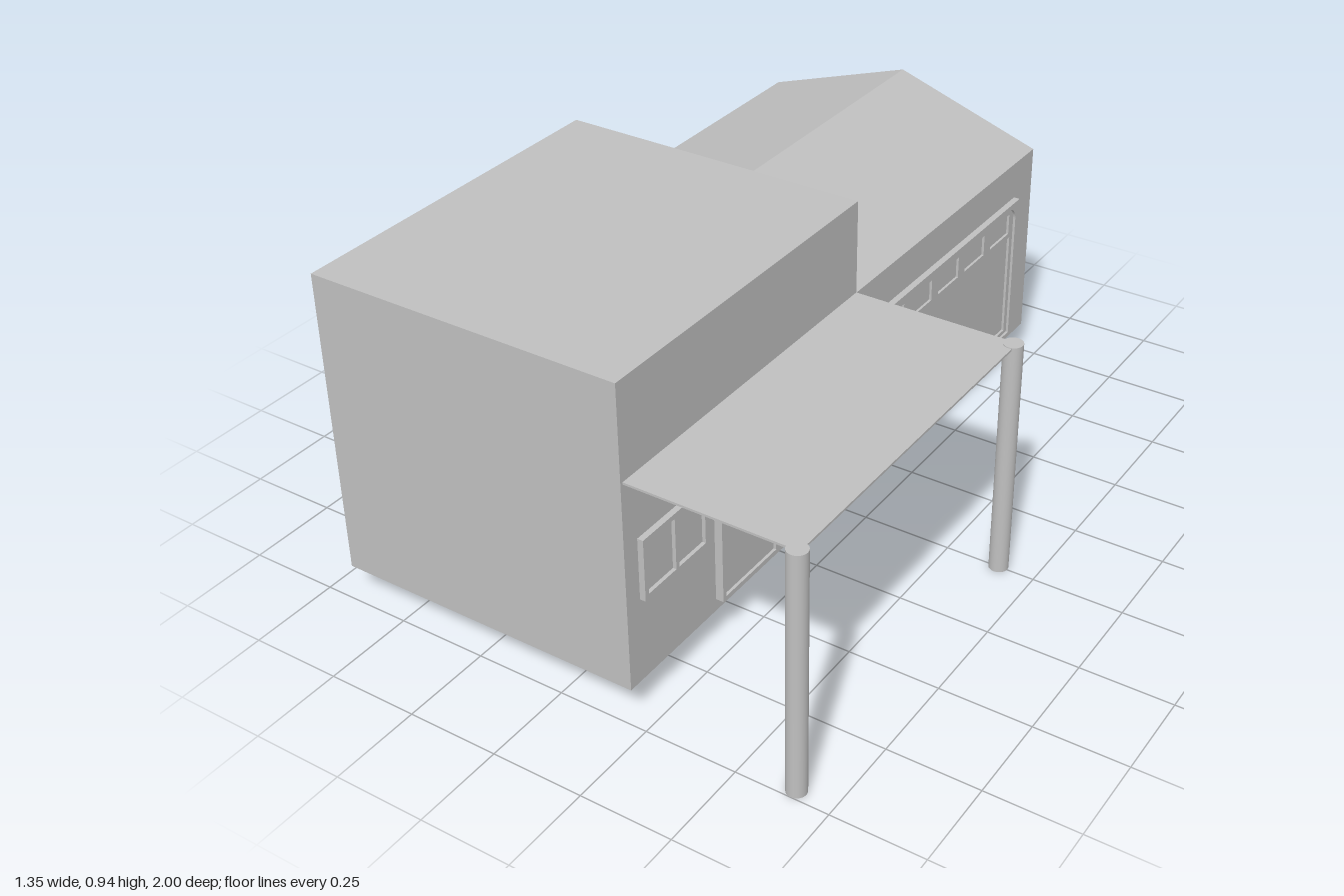
import * as THREE from 'three';

const WALL_X = 0.2; // plane of the side wall that carries the openings

export function createModel() {
  const model = new THREE.Group();
  const grey = new THREE.MeshStandardMaterial({ color: 0xc0c0c0 });
  grey.name = 'plain grey';

  const add = (name, geometry, parent = model) => {
    const mesh = new THREE.Mesh(geometry, grey);
    mesh.name = name;
    parent.add(mesh);
    return mesh;
  };
  const box = (name, x0, x1, y0, y1, z0, z1, parent) =>
    add(name, new THREE.BoxGeometry(x1 - x0, y1 - y0, z1 - z0), parent)
      .position.set((x0 + x1) / 2, (y0 + y1) / 2, (z0 + z1) / 2);

  // Rectangle outline in wall coordinates (u = -z), with optional round top corners
  const outline = (target, u0, u1, y0, y1, r = 0) => {
    target.moveTo(u0, y0);
    target.lineTo(u1, y0);
    target.lineTo(u1, y1 - r);
    if (r) target.absarc(u1 - r, y1 - r, r, 0, Math.PI / 2, false);
    target.lineTo(u0 + r, y1);
    if (r) target.absarc(u0 + r, y1 - r, r, Math.PI / 2, Math.PI, false);
    target.closePath();
    return target;
  };
  // Plate standing out from the side wall, cut by rectangular holes
  const wallPlate = (name, rect, holes, depth, parent) => {
    const shape = outline(new THREE.Shape(), ...rect);
    for (const hole of holes) shape.holes.push(outline(new THREE.Path(), ...hole));
    const geometry = new THREE.ExtrudeGeometry(shape, { depth, bevelEnabled: false, curveSegments: 6 });
    geometry.rotateY(Math.PI / 2);
    add(name, geometry, parent).position.x = WALL_X;
  };

  // Tall flat-roofed front block
  box('frontBlock', -0.675, WALL_X, 0.09, 0.935, -0.01, 0.985);

  // Lower rear block with a gabled roof
  const gable = new THREE.Shape();
  gable.moveTo(-0.675, 0.09);
  gable.lineTo(WALL_X, 0.09);
  gable.lineTo(WALL_X, 0.675);
  gable.lineTo(-0.238, 0.82);
  gable.lineTo(-0.675, 0.675);
  gable.closePath();
  add('gabledBlock', new THREE.ExtrudeGeometry(gable, { depth: 0.99, bevelEnabled: false }))
    .position.z = -1;

  // Thin canopy carried on two round posts
  box('canopy', WALL_X, 0.657, 0.67, 0.676, -0.01, 0.977);
  for (const z of [-0.002, 0.974]) {
    add('canopyPost', new THREE.CylinderGeometry(0.026, 0.026, 0.678, 24))
      .position.set(0.649, 0.339, z);
  }

  // Two-light windows either side of the door
  for (const u0 of [-0.935, -0.34]) {
    const u1 = u0 + 0.255, mid = u0 + 0.1275;
    wallPlate('windowFrame', [u0, u1, 0.325, 0.497], [
      [u0 + 0.014, mid - 0.006, 0.339, 0.483],
      [mid + 0.006, u1 - 0.014, 0.339, 0.483],
    ], 0.016);
    wallPlate('windowGlass', [u0 + 0.01, u1 - 0.01, 0.335, 0.487], [], 0.006);
  }

  // Entrance door
  const door = new THREE.Group();
  door.name = 'door';
  model.add(door);
  wallPlate('doorFrame', [-0.635, -0.385, 0.125, 0.565], [[-0.621, -0.399, 0.135, 0.551]], 0.022, door);
  wallPlate('doorLeaf', [-0.625, -0.395, 0.13, 0.555], [], 0.014, door);

  // Garage door: surround, recessed sheet with a row of lights, lower panel
  const garage = new THREE.Group();
  garage.name = 'garageDoor';
  model.add(garage);
  wallPlate('garageSurround', [0.085, 0.893, 0.12, 0.565], [[0.105, 0.873, 0.13, 0.553, 0.045]], 0.018, garage);
  const lights = [];
  for (let i = 0; i < 5; i++) {
    const u = 0.13 + i * 0.151;
    lights.push([u, u + 0.113, 0.47, 0.532]);
  }
  lights.push([0.122, 0.856, 0.142, 0.455]);
  wallPlate('garageSheet', [0.095, 0.883, 0.125, 0.559], lights, 0.011, garage);
  wallPlate('garagePanel', [0.115, 0.863, 0.135, 0.54], [], 0.004, garage);

  return model;
}
